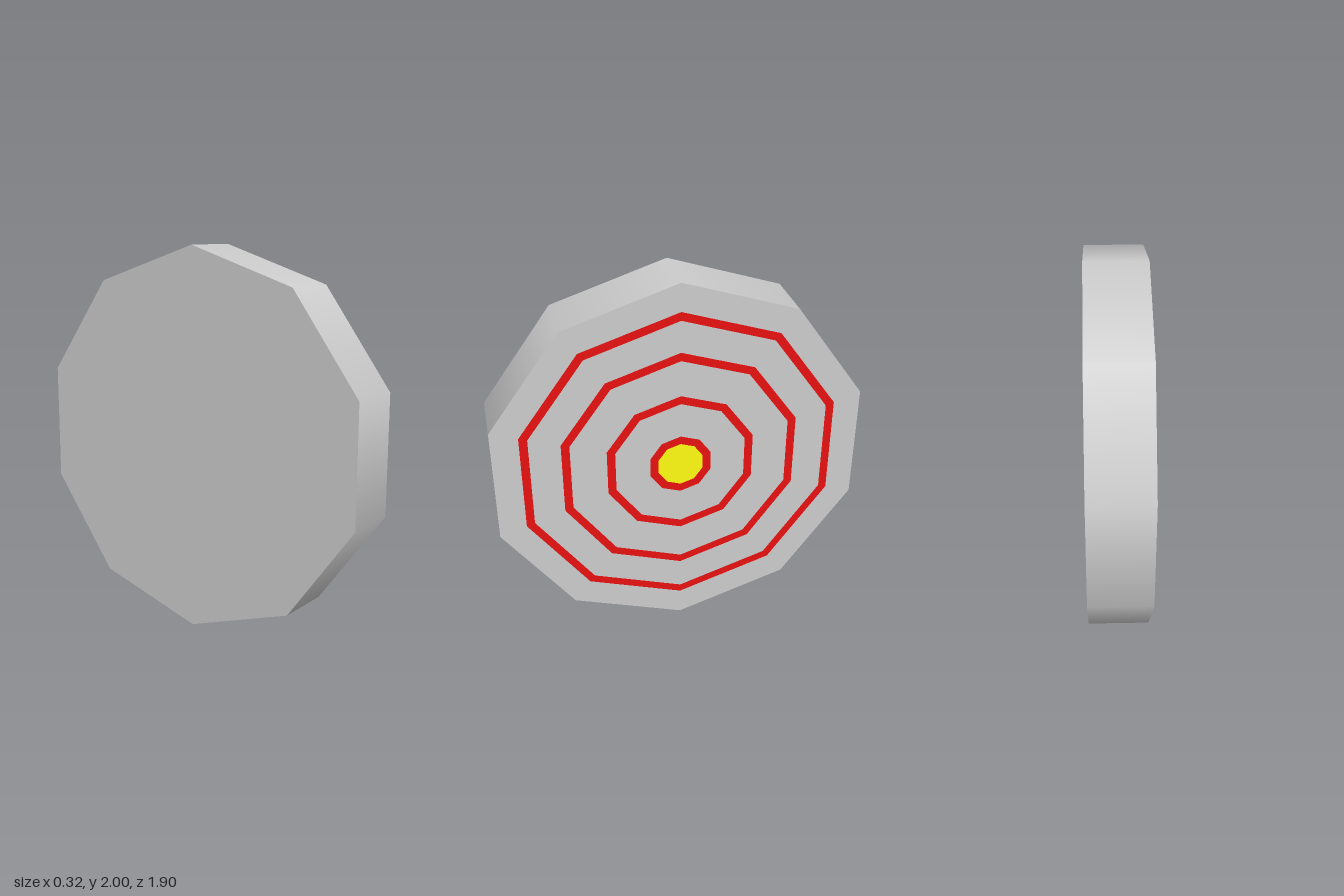
import * as THREE from 'three';

const SIDES = 10;
const HALF = 0.158; // half the thickness along x

export function createModel() {
  const group = new THREE.Group();
  const grey = new THREE.MeshStandardMaterial({ color: 0xcccccc });
  const red = new THREE.MeshStandardMaterial({ color: 0xe81010 });
  const yellow = new THREE.MeshStandardMaterial({ color: 0xfffa10 });

  const add = (name, geometry, material) => {
    const mesh = new THREE.Mesh(geometry, material);
    mesh.name = name;
    mesh.position.y = 1;
    group.add(mesh);
  };

  // Smooth ten-sided rim, axis along x, one corner straight up
  const rim = new THREE.CylinderGeometry(1, 1, HALF * 2, SIDES, 1, true, Math.PI / 2);
  add('rim', rim.rotateZ(-Math.PI / 2), grey);

  // Plain back of the target
  const back = new THREE.CircleGeometry(1, SIDES, Math.PI / 2);
  add('backFace', back.rotateY(-Math.PI / 2).translate(-HALF, 0, 0), grey);

  // Painted face: flush grey and red bands, alternating from the edge inwards
  const radii = [1, 0.853, 0.808, 0.64, 0.595, 0.401, 0.356, 0.167, 0.122];
  for (let i = 0; i < radii.length - 1; i++) {
    const band = new THREE.RingGeometry(radii[i + 1], radii[i], SIDES, 1, Math.PI / 2);
    band.rotateY(Math.PI / 2).translate(HALF, 0, 0);
    const isRed = i % 2 === 1;
    add((isRed ? 'redRing' : 'greyBand') + (Math.floor(i / 2) + 1), band, isRed ? red : grey);
  }

  // Yellow centre
  const centre = new THREE.CircleGeometry(radii[radii.length - 1], SIDES, Math.PI / 2);
  add('bullseye', centre.rotateY(Math.PI / 2).translate(HALF, 0, 0), yellow);

  return group;
}
